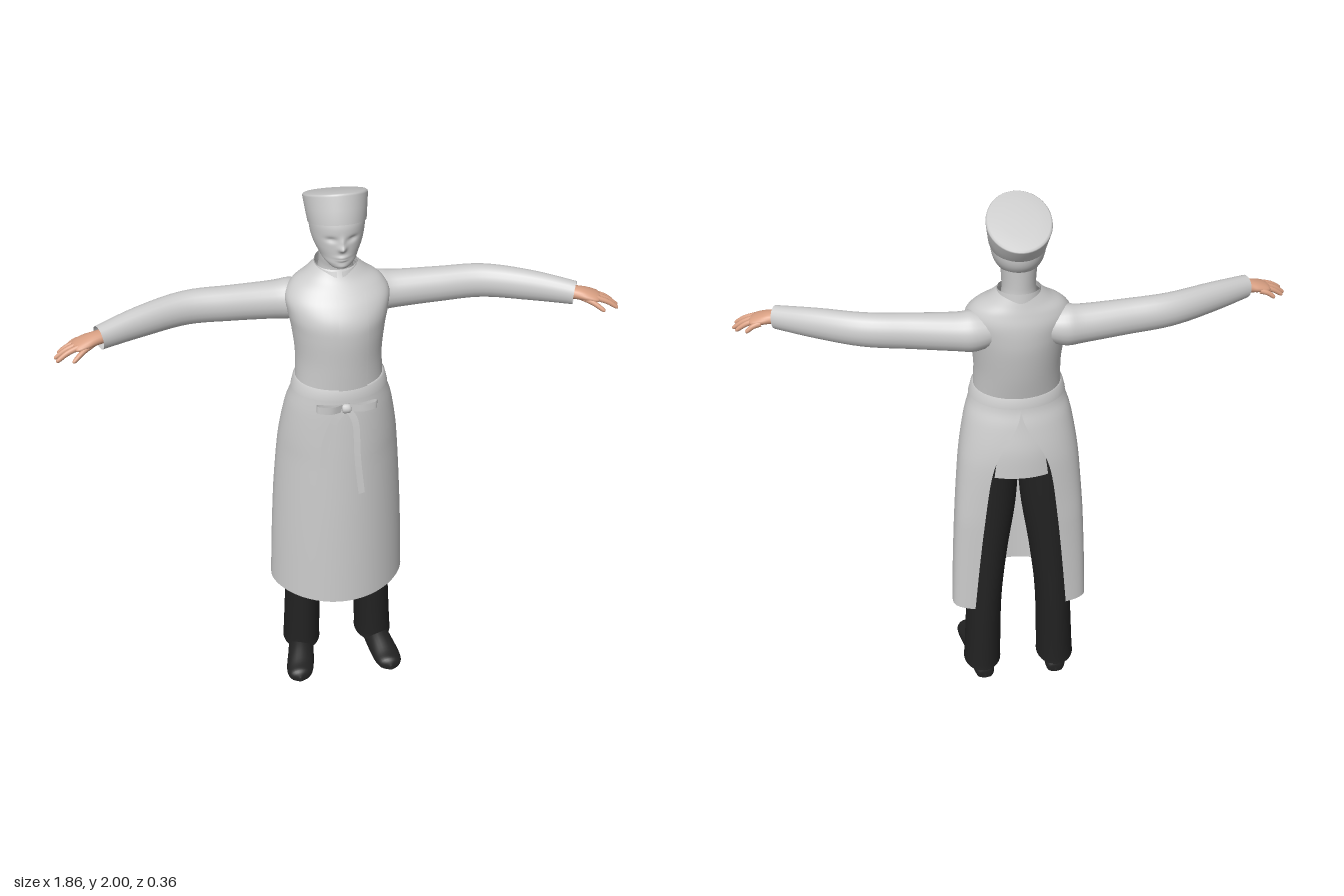
import * as THREE from 'three';
import { mergeVertices } from 'three/addons/utils/BufferGeometryUtils.js';

const mat = (name, color) => new THREE.MeshStandardMaterial({ name, color, side: THREE.DoubleSide });

// Surface through rows of [x, y, z] points
function sheet(rows) {
  const n = rows[0].length, index = [];
  for (let i = 0; i < rows.length - 1; i++)
    for (let j = 0; j < n - 1; j++) {
      const a = i * n + j, c = a + n;
      index.push(a, a + 1, c + 1, a, c + 1, c);
    }
  let geo = new THREE.BufferGeometry();
  geo.setAttribute('position', new THREE.Float32BufferAttribute(rows.flat(2), 3));
  geo.setIndex(index);
  geo = mergeVertices(geo, 1e-5);
  geo.computeVertexNormals();
  return geo;
}

const mirror = rows => rows.map(r => r.map(([x, y, z]) => [-x, y, z]).reverse());

// Catmull-Rom refinement of a table of cross-sections
function smooth(table, k = 5) {
  const out = [], last = table.length - 1;
  for (let i = 0; i < last; i++) {
    const [p, a, b, q] = [i - 1, i, i + 1, i + 2].map(m => table[Math.min(last, Math.max(0, m))]);
    for (let s = 0; s < k; s++) {
      const t = s / k;
      out.push(a.map((v, c) => v + 0.5 * t * (b[c] - p[c] +
        t * (2 * p[c] - 5 * v + 4 * b[c] - q[c] + t * (3 * (v - b[c]) + q[c] - p[c])))));
    }
  }
  out.push(table[last]);
  return out;
}

const pw = (v, e) => Math.sign(v) * Math.abs(v) ** e;

// Horizontal section [y, halfWidth, frontZ, backZ, middleZ, centreX], t = 0 at the front
function ring([y, w, f, b, zc = (f + b) / 2, cx = 0], t0 = -Math.PI, t1 = Math.PI, n = 48, pf = 1, pb = 1) {
  return Array.from({ length: n + 1 }, (_, j) => {
    const t = t0 + (t1 - t0) * j / n, s = Math.sin(t), c = Math.cos(t);
    return [cx + w * s, y, c > 0 ? zc + (f - zc) * pw(c, pf) : zc + (zc - b) * pw(c, pb)];
  });
}
const body = (table, k) => smooth(table, k).map(s => ring(s));

// Limb through sections [x, y, z, radiusUp, radiusSide]
function limb(table, k = 5, n = 20) {
  const secs = smooth(table, k), up = new THREE.Vector3(0, 1, 0);
  return secs.map(([x, y, z, ry, rz], i) => {
    const a = secs[Math.max(0, i - 1)], b = secs[Math.min(secs.length - 1, i + 1)];
    const T = new THREE.Vector3(b[0] - a[0], b[1] - a[1], b[2] - a[2]).normalize();
    const N = new THREE.Vector3().crossVectors(T, up).normalize();
    const U = new THREE.Vector3().crossVectors(N, T);
    return Array.from({ length: n + 1 }, (_, j) => {
      const s = (j % n) / n * Math.PI * 2;
      return new THREE.Vector3(x, y, z).addScaledVector(U, ry * Math.cos(s)).addScaledVector(N, rz * Math.sin(s)).toArray();
    });
  });
}

// Flat ribbon along points, widened by the offset [dx, dy]
function ribbon(points, [dx, dy]) {
  return smooth(points, 6).map(([x, y, z]) => [[x - dx, y - dy, z], [x + dx, y + dy, z]]);
}

export function createModel() {
  const root = new THREE.Group();
  root.name = 'cook';
  const pale = mat('paleGrey', 0xcccccc), skin = mat('skin', 0xd9a083), black = mat('black', 0x222222);
  const add = (name, rows, m) => {
    const mesh = new THREE.Mesh(sheet(rows), m);
    mesh.name = name;
    root.add(mesh);
  };
  const pair = (name, rows, m) => {
    add(name + 'Left', rows, m);
    add(name + 'Right', mirror(rows), m);
  };

  // Head with nose, brow, eye sockets, lips
  const head = smooth([
    [1.742, 0.008, 0.045, 0.02], [1.747, 0.03, 0.059, 0.0], [1.765, 0.052, 0.066, -0.05], [1.785, 0.066, 0.066, -0.105],
    [1.815, 0.08, 0.067, -0.135], [1.85, 0.088, 0.067, -0.147], [1.89, 0.09, 0.066, -0.145], [1.925, 0.084, 0.055, -0.135],
  ], 8).map(s => ring(s, -Math.PI, Math.PI, 96));
  const bump = (x, y, cx, cy, rx, ry, h) => h * Math.exp(-(((x - cx) / rx) ** 2) - ((y - cy) / ry) ** 2);
  head.forEach(r => r.forEach(p => {
    const [x, y, z] = p;
    if (z < -0.01) return;
    p[2] += bump(x, y, 0, 1.822, 0.011, 0.011, 0.017) + bump(x, y, 0, 1.842, 0.008, 0.016, 0.008)
      + bump(x, y, 0, 1.789, 0.02, 0.006, 0.006) + bump(x, y, 0, 1.779, 0.016, 0.004, 0.005)
      + bump(Math.abs(x), y, 0.034, 1.85, 0.016, 0.009, -0.008) + bump(x, y, 0, 1.756, 0.02, 0.009, 0.004);
  }));
  add('head', head, pale);
  add('neck', body([[1.66, 0.064, 0.005, -0.13], [1.71, 0.056, 0.0, -0.122], [1.75, 0.056, 0.008, -0.122], [1.81, 0.06, 0.0, -0.125]]), pale);

  // Cap tilted back: sections [centreY, centreZ, halfWidth, halfDepth, tilt]
  const tilted = ([y, z, w, d, tilt]) => Array.from({ length: 49 }, (_, j) => {
    const t = (j % 48) / 24 * Math.PI;
    return [w * Math.sin(t), y + tilt * Math.cos(t), z + d * Math.cos(t)];
  });
  add('cap', [
    [1.872, -0.034, 0.088, 0.099, 0.033], [1.873, -0.034, 0.094, 0.104, 0.033], [1.91, -0.051, 0.099, 0.109, 0.04],
    [1.947, -0.069, 0.104, 0.115, 0.046], [1.952, -0.07, 0.103, 0.114, 0.046], [1.956, -0.07, 0.098, 0.109, 0.044],
    [1.961, -0.07, 0.06, 0.065, 0.027], [1.963, -0.07, 0, 0, 0],
  ].map(tilted), pale);

  // Jacket body, with its overlapping front panel
  const torso = [
    [1.30, 0.15, 0.114, -0.117], [1.40, 0.147, 0.119, -0.14], [1.50, 0.157, 0.123, -0.157], [1.56, 0.168, 0.116, -0.161],
    [1.61, 0.174, 0.087, -0.158], [1.65, 0.15, 0.05, -0.148], [1.68, 0.105, 0.022, -0.139], [1.71, 0.07, 0.004, -0.13],
  ];
  add('jacket', body(torso, 6), pale);
  const panel = smooth(torso, 6).filter(s => s[0] < 1.652)
    .map(([y, w, f, b]) => ring([y, w, f + 0.005, b], Math.asin(-0.02 / w), Math.asin(0.08 / w), 10));
  add('jacketPanel', panel, pale);

  // Standing collar, open at the front and higher behind
  add('collar', [[1.685, 0.076, 0.018, -0.136], [1.715, 0.07, 0.01, -0.131]].map((s, i) =>
    ring(s, 0.12, Math.PI * 2 - 0.12).map(([x, y, z]) => [x, y - i * 0.14 * (z + 0.06), z])), pale);

  // Sleeves
  pair('sleeve', limb([
    [0.09, 1.578, -0.08, 0.055, 0.055], [0.15, 1.572, -0.082, 0.07, 0.065], [0.21, 1.572, -0.08, 0.066, 0.059],
    [0.35, 1.579, -0.07, 0.062, 0.052], [0.5, 1.586, -0.055, 0.059, 0.048], [0.65, 1.585, 0.003, 0.053, 0.042],
    [0.785, 1.579, 0.067, 0.041, 0.034],
  ]), pale);

  // Hands
  pair('palm', limb([
    [0.74, 1.58, 0.047, 0.022, 0.026], [0.79, 1.58, 0.066, 0.021, 0.028], [0.825, 1.575, 0.075, 0.018, 0.036],
    [0.86, 1.567, 0.083, 0.012, 0.034], [0.872, 1.563, 0.086, 0.002, 0.01],
  ]), skin);
  const fingers = {
    littleFinger: [[0.835, 1.569, 0.048], [0.885, 1.546, 0.037]],
    ringFinger: [[0.848, 1.571, 0.066], [0.92, 1.537, 0.066]],
    middleFinger: [[0.853, 1.572, 0.083], [0.931, 1.532, 0.09]],
    indexFinger: [[0.85, 1.571, 0.099], [0.924, 1.536, 0.117]],
    thumb: [[0.8, 1.572, 0.085], [0.872, 1.541, 0.139]],
  };
  for (const [name, [a, b]] of Object.entries(fingers)) {
    const at = (t, r, lift = 0) => [...a.map((v, c) => v + (b[c] - v) * t + (c === 1 ? lift : 0)), r, r];
    pair(name, limb([at(0, 0.01), at(0.5, 0.0088, 0.005), at(0.92, 0.0065), at(1, 0.0005)], 4, 10), skin);
  }

  // Jacket tail below the waist
  add('jacketTail', body([
    [1.0, 0.195, 0.118, -0.156, -0.025], [1.1, 0.185, 0.115, -0.152, -0.02], [1.2, 0.165, 0.113, -0.133, -0.01], [1.31, 0.146, 0.11, -0.113, 0],
  ]), pale);

  // Long apron, opening into a slit behind; the last column is half the slit
  const apron = smooth([
    [0.37, 0.25, 0.14, -0.146, -0.055, 0.17], [0.6, 0.241, 0.139, -0.153, -0.05, 0.15], [0.8, 0.23, 0.137, -0.16, -0.045, 0.13],
    [1.0, 0.215, 0.133, -0.166, -0.035, 0.105], [1.1, 0.203, 0.13, -0.162, -0.025, 0.075], [1.2, 0.185, 0.126, -0.144, -0.015, 0.02],
    [1.26, 0.167, 0.122, -0.127, -0.005, 0.001], [1.31, 0.154, 0.119, -0.121, 0, 0.001],
  ]).map(([y, w, f, b, zc, slit]) => {
    const end = Math.PI - Math.asin(Math.max(0, slit) / w), q = Math.max(0, 1.25 - y);
    return ring([y, w, f, b, zc], -end, end, 64, 1 + Math.min(0.25, q), 1 - Math.min(0.45, q));
  });
  add('apron', apron, pale);
  add('waistband', [[1.275, 0.166, 0.125, -0.128, 0], [1.312, 0.157, 0.122, -0.124, 0], [1.314, 0.148, 0.112, -0.115, 0]].map(s => ring(s)), pale);

  // Tied bow and hanging ends
  pair('bowLoop', ribbon([[0.005, 1.262, 0.142], [0.05, 1.27, 0.168], [0.095, 1.276, 0.165], [0.098, 1.274, 0.148],
    [0.05, 1.258, 0.138], [0.005, 1.26, 0.138]], [0, 0.014]), pale);
  add('bowKnot', limb([[-0.016, 1.26, 0.145, 0.002, 0.002], [-0.012, 1.26, 0.145, 0.016, 0.014], [0.012, 1.26, 0.145, 0.016, 0.014],
    [0.016, 1.26, 0.145, 0.002, 0.002]], 3, 12), pale);
  add('shortTie', ribbon([[-0.005, 1.258, 0.15], [-0.045, 1.215, 0.158], [-0.077, 1.13, 0.168], [-0.085, 1.04, 0.178]], [0.012, -0.005]), pale);
  add('longTie', ribbon([[0.005, 1.258, 0.15], [0.03, 1.2, 0.158], [0.036, 1.06, 0.168], [0.05, 0.91, 0.174]], [0.011, 0.003]), pale);

  // Trousers
  pair('trouserLeg', body([
    [0.045, 0.071, 0.042, -0.14, -0.05, 0.142], [0.1, 0.069, 0.036, -0.138, -0.05, 0.14], [0.37, 0.066, 0.036, -0.14, -0.05, 0.13],
    [0.6, 0.074, 0.045, -0.138, -0.045, 0.115], [0.85, 0.089, 0.065, -0.14, -0.04, 0.096], [1.1, 0.09, 0.08, -0.14, -0.03, 0.085],
  ]), black);

  // Shoes, swept from heel to toe: sections [z, centreX, halfWidth, height]
  const shoe = smooth([
    [-0.135, 0.138, 0.004, 0.02], [-0.122, 0.138, 0.034, 0.05], [-0.05, 0.144, 0.045, 0.085], [0.03, 0.156, 0.05, 0.078],
    [0.11, 0.171, 0.052, 0.052], [0.15, 0.176, 0.04, 0.042], [0.167, 0.178, 0.006, 0.018],
  ]).map(([z, cx, w, h]) => Array.from({ length: 25 }, (_, j) => {
    const s = (j % 24) / 12 * Math.PI;
    return [cx + w * Math.cos(s), Math.max(0, h * (0.35 + 0.65 * Math.sin(s))), z];
  }));
  pair('shoe', shoe, black);

  return root;
}
